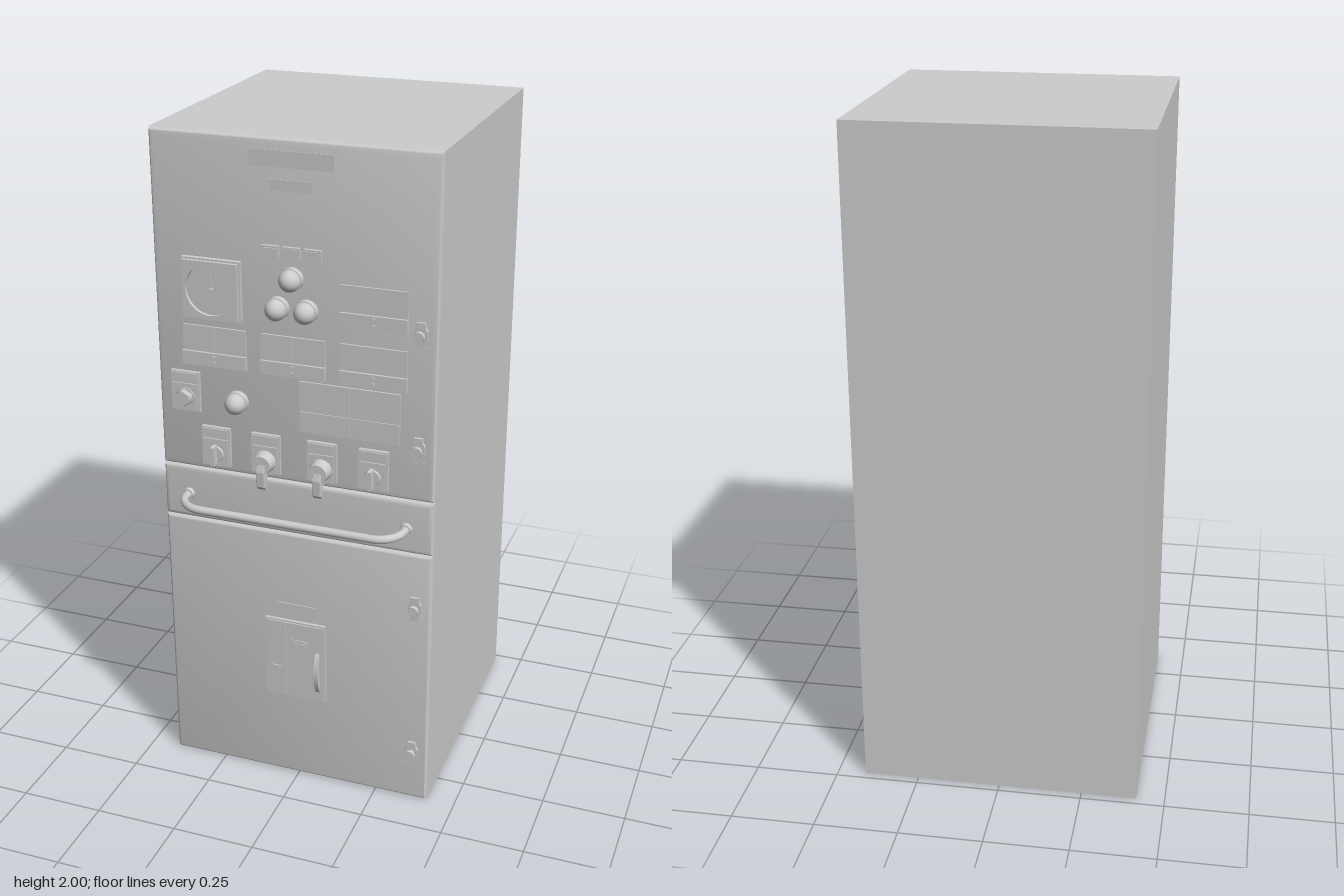
import * as THREE from 'three';
import { toCreasedNormals } from 'three/addons/utils/BufferGeometryUtils.js';

const FACE = 0.37; // z of the door fronts
const mat = new THREE.MeshStandardMaterial({ color: 0xcccccc });

export function createModel() {
  const root = new THREE.Group();

  function add(parent, name, geo, x = 0, y = 0, z = 0) {
    const m = new THREE.Mesh(geo, mat);
    m.name = name;
    m.position.set(x, y, z);
    parent.add(m);
    return m;
  }
  function group(name, x, y) {
    const g = new THREE.Group();
    g.name = name;
    g.position.set(x, y, FACE);
    root.add(g);
    return g;
  }
  // Box centred on x, y and spanning z0..z1
  const box = (p, name, x, y, w, h, z0, z1) =>
    add(p, name, new THREE.BoxGeometry(w, h, z1 - z0), x, y, (z0 + z1) / 2);
  // Round part whose axis points forward, spanning z0..z1
  const disc = (p, name, x, y, r0, r1, z0, z1, sides = 32) =>
    add(p, name, new THREE.CylinderGeometry(r1, r0, z1 - z0, sides).rotateX(Math.PI / 2), x, y, (z0 + z1) / 2);
  const rect = (w, h) => new THREE.Shape([[-1, -1], [1, -1], [1, 1], [-1, 1]]
    .map(([a, b]) => new THREE.Vector2(a * w / 2, b * h / 2)));

  // Cabinet body
  box(root, 'cabinetBody', 0, 1, 0.83, 2, -0.475, FACE - 0.015);

  // Three fronts with rounded edges, their rear bevels sunk in the body
  const R = 0.015;
  for (const [name, y0, y1] of [['lowerDoor', 0, 0.84], ['middleDrawer', 0.84, 1.008], ['upperDoor', 1.008, 2]]) {
    const geo = new THREE.ExtrudeGeometry(rect(0.83 - 2 * R, y1 - y0 - 2 * R),
      { depth: 0.001, bevelEnabled: true, bevelSize: R, bevelThickness: R, bevelSegments: 6 });
    add(root, name, toCreasedNormals(geo, 0.6), 0, (y0 + y1) / 2, FACE - R - 0.001);
  }

  // Drawer pull bar
  const bar = group('pullBar', 0, 0.92);
  const path = new THREE.CurvePath();
  const v = (x, z) => new THREE.Vector3(x, 0, z);
  path.add(new THREE.LineCurve3(v(-0.335, -0.01), v(-0.335, 0.018)));
  path.add(new THREE.CubicBezierCurve3(v(-0.335, 0.018), v(-0.335, 0.06), v(-0.302, 0.093), v(-0.26, 0.093)));
  path.add(new THREE.LineCurve3(v(-0.26, 0.093), v(0.26, 0.093)));
  path.add(new THREE.CubicBezierCurve3(v(0.26, 0.093), v(0.302, 0.093), v(0.335, 0.06), v(0.335, 0.018)));
  path.add(new THREE.LineCurve3(v(0.335, 0.018), v(0.335, -0.01)));
  add(bar, 'barTube', new THREE.TubeGeometry(path, 120, 0.012, 16));
  for (const s of [-1, 1]) disc(bar, 'barFlange', s * 0.335, 0, 0.018, 0.016, 0, 0.012);

  // Round dial meter: square frame, sunken face and needle
  const meter = group('dialMeter', -0.236, 1.566);
  box(meter, 'meterBase', 0, 0, 0.175, 0.175, 0, 0.015);
  const frame = rect(0.165, 0.165);
  frame.holes.push(new THREE.Path().absarc(0, 0, 0.073, 0, Math.PI * 2, true));
  add(meter, 'meterFrame', new THREE.ExtrudeGeometry(frame, { depth: 0.01, bevelEnabled: false, curveSegments: 32 }), 0, 0, 0.015);
  disc(meter, 'meterHub', 0, 0, 0.007, 0.007, 0.015, 0.022, 16);
  box(meter, 'meterNeedle', 0, 0.027, 0.004, 0.055, 0.015, 0.018);

  // Row of small label windows
  for (const x of [-0.061, 0, 0.061]) {
    const g = group('labelWindow', x, 1.692);
    box(g, 'windowFrame', 0, 0, 0.05, 0.034, 0, 0.01);
    box(g, 'windowPane', 0, 0, 0.04, 0.024, 0.01, 0.013);
  }

  // Domed signal lamps
  for (const [x, y] of [[0, 1.62], [-0.042, 1.533], [0.042, 1.533], [-0.17, 1.237]]) {
    const g = group('signalLamp', x, y);
    disc(g, 'lampCollar', 0, 0, 0.033, 0.033, 0, 0.02);
    const dome = new THREE.SphereGeometry(0.031, 24, 10, 0, Math.PI * 2, 0, Math.PI / 2).rotateX(Math.PI / 2);
    add(dome && g, 'lampDome', dome, 0, 0, 0.02).scale.z = 1.1;
  }

  // Instruments: thin display above a raised strip with two screws
  for (const [x, y] of [[0.235, 1.505], [-0.235, 1.337], [0, 1.337], [0.235, 1.337]]) {
    const g = group('instrument', x, y);
    box(g, 'instrumentDisplay', 0, 0.058, 0.19, 0.116, 0, 0.006);
    box(g, 'instrumentStrip', 0, 0.02, 0.192, 0.04, 0, 0.014);
    box(g, 'instrumentDivider', 0, 0.075, 0.003, 0.055, 0.006, 0.009);
    for (const sy of [0.011, 0.029]) disc(g, 'stripScrew', 0, sy, 0.006, 0.006, 0.014, 0.018, 12);
  }

  // Wide relay panel
  const relay = group('relayPanel', 0.165, 1.25);
  box(relay, 'relayPlate', 0, 0, 0.294, 0.152, 0, 0.006);
  box(relay, 'relayRail', 0, -0.015, 0.29, 0.003, 0.006, 0.009);
  box(relay, 'relayDivider', 0, 0, 0.003, 0.148, 0.006, 0.009);

  // Rotary switches on plates, each with its own handle
  function switchPlate(name, x, y) {
    const g = group(name, x, y);
    box(g, 'switchPlate', 0, 0, 0.087, 0.12, 0, 0.012);
    box(g, 'switchLabel', 0, 0.045, 0.078, 0.024, 0.012, 0.016);
    box(g, 'switchFace', 0, -0.015, 0.076, 0.08, 0.012, 0.016);
    return g;
  }
  for (const x of [-0.238, 0.238]) {
    const g = switchPlate('rotarySwitch', x, 1.09);
    disc(g, 'knobBase', 0, -0.02, 0.025, 0.023, 0.016, 0.022);
    box(g, 'knobGrip', 0, -0.02, 0.012, 0.056, 0.016, 0.044);
  }
  for (const x of [-0.085, 0.085]) {
    const g = switchPlate('pistolSwitch', x, 1.09);
    disc(g, 'pistolHub', 0, -0.02, 0.033, 0.028, 0.016, 0.05);
    // Side profile of the grip, running down and slightly outward
    const grip = new THREE.Shape([[0.026, 0], [0.05, 0], [0.055, -0.02], [0.052, -0.065], [0.044, -0.074], [0.036, -0.06]]
      .map(p => new THREE.Vector2(...p)));
    const geo = new THREE.ExtrudeGeometry(grip, { depth: 0.02, bevelSize: 0.002, bevelThickness: 0.003, bevelSegments: 2 });
    add(g, 'pistolGrip', geo.translate(0, 0, -0.01).rotateY(-Math.PI / 2), 0, -0.02, 0);
  }
  const selector = switchPlate('selectorSwitch', -0.328, 1.251);
  disc(selector, 'selectorBase', 0, -0.016, 0.03, 0.03, 0.016, 0.02);
  disc(selector, 'selectorKnob', 0, -0.016, 0.027, 0.022, 0.02, 0.034, 6);

  // Door latches along one edge
  const oval = new THREE.Shape([[-0.012, -0.036], [0.012, -0.036], [0.014, -0.022], [0.02, -0.012], [0.02, 0.012],
    [0.014, 0.022], [0.012, 0.036], [-0.012, 0.036], [-0.014, 0.022], [-0.02, 0.012], [-0.02, -0.012], [-0.014, -0.022]]
    .map(p => new THREE.Vector2(...p)));
  for (const y of [1.505, 1.17, 0.668, 0.17]) {
    const g = group('doorLatch', 0.366, y);
    add(g, 'latchPlate', new THREE.ExtrudeGeometry(oval, { depth: 0.009, bevelEnabled: false }));
    disc(g, 'latchStem', 0, 0, 0.011, 0.011, 0.009, 0.018, 16);
    disc(g, 'latchHead', 0, 0, 0.016, 0.015, 0.018, 0.026, 16);
    box(g, 'latchLabel', 0, -0.04, 0.045, 0.006, 0, 0.002);
  }

  // Breaker window in the lower door
  const breaker = group('breaker', -0.002, 0.419);
  box(breaker, 'breakerPlate', 0, 0, 0.19, 0.264, 0, 0.01);
  box(breaker, 'breakerLeftCover', -0.06, 0, 0.062, 0.254, 0.01, 0.014);
  box(breaker, 'breakerRightCover', 0.032, 0, 0.118, 0.254, 0.01, 0.014);
  box(breaker, 'breakerDisplay', 0.015, 0.055, 0.05, 0.035, 0.014, 0.017);
  for (const x of [0.003, 0.027]) box(breaker, 'breakerButton', x, 0.055, 0.016, 0.02, 0.017, 0.02);
  box(breaker, 'breakerTab', -0.06, -0.03, 0.035, 0.008, 0.014, 0.017);
  // Bowed charging lever
  const lever = new THREE.Shape();
  lever.moveTo(0.01, -0.075);
  lever.quadraticCurveTo(0.055, 0, 0.01, 0.075);
  lever.closePath();
  add(breaker, 'chargingLever', new THREE.ExtrudeGeometry(lever, { depth: 0.014, bevelEnabled: false })
    .translate(0, 0, -0.007).rotateY(-Math.PI / 2), 0.072, -0.028, 0);

  // Thin nameplates
  box(root, 'breakerNameplate', 0, 0.588, 0.12, 0.036, FACE, FACE + 0.003);
  box(root, 'cabinetNameplate', 0, 1.945, 0.24, 0.045, FACE, FACE + 0.002);
  box(root, 'lowerNameplate', 0, 1.875, 0.12, 0.03, FACE, FACE + 0.002);

  return root;
}
